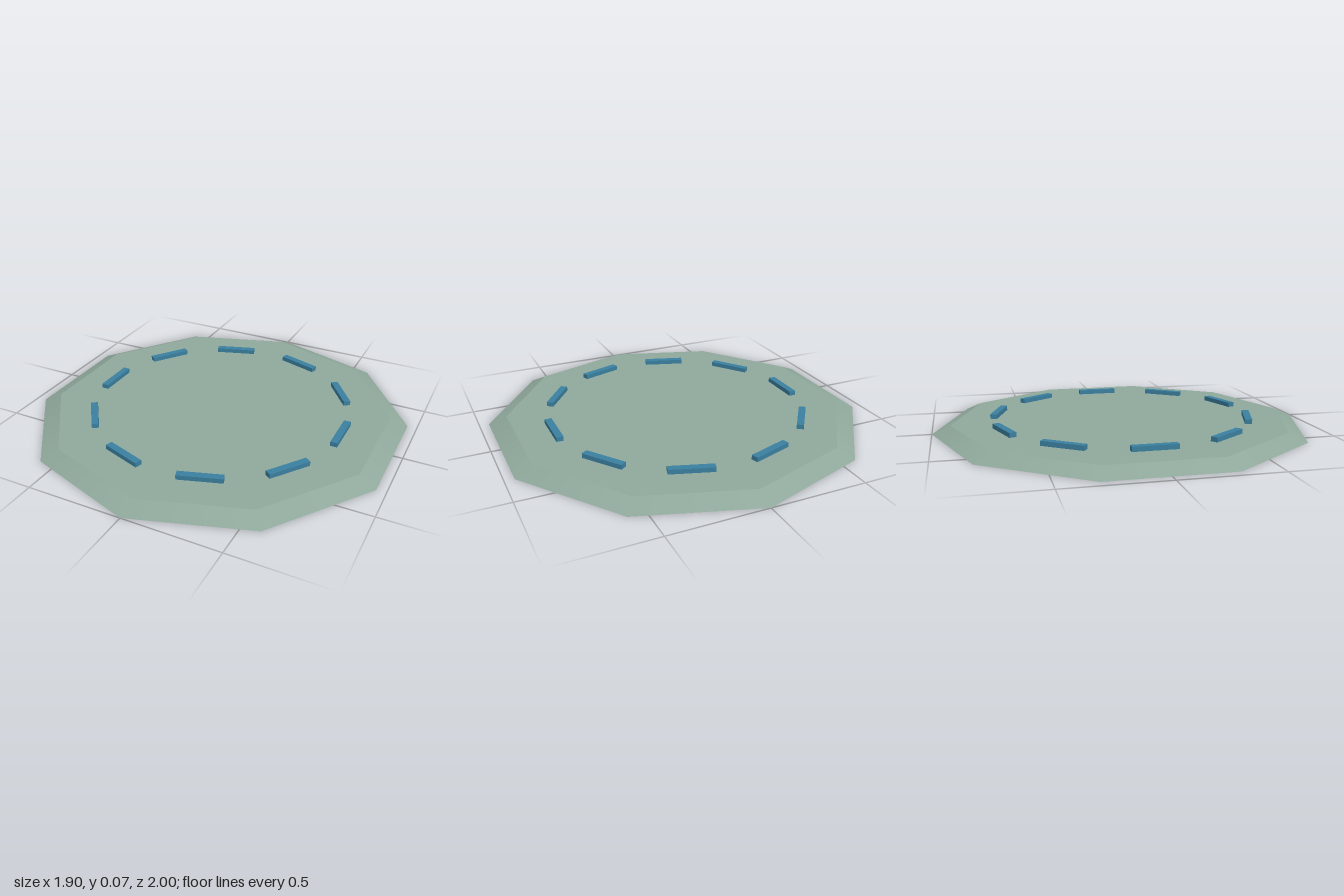
import * as THREE from 'three';

const SIDES = 10;
const BASE_HEIGHT = 0.042;
const BAR_RADIUS = 0.677;

export function createModel() {
  const model = new THREE.Group();
  model.name = 'decagonalPlatform';
  const baseMaterial = new THREE.MeshStandardMaterial({ color: 0x8fa89b });
  const barMaterial = new THREE.MeshStandardMaterial({ color: 0x3a7f9f });

  // Low ten-sided slab with sloping, smooth-shaded rim
  const base = new THREE.Mesh(
    new THREE.CylinderGeometry(0.905, 1, BASE_HEIGHT, SIDES), baseMaterial);
  base.name = 'base';
  base.position.y = BASE_HEIGHT / 2;
  model.add(base);

  // Ring of bars, one parallel to each side of the slab
  const bars = new THREE.Group();
  bars.name = 'barRing';
  const barGeometry = new THREE.BoxGeometry(0.225, 0.024, 0.037);
  for (let i = 0; i < SIDES; i++) {
    const angle = ((i + 0.5) / SIDES) * Math.PI * 2;
    const bar = new THREE.Mesh(barGeometry, barMaterial);
    bar.name = `bar${i + 1}`;
    bar.position.set(
      Math.sin(angle) * BAR_RADIUS, BASE_HEIGHT + 0.012, Math.cos(angle) * BAR_RADIUS);
    bar.rotation.y = angle;
    bars.add(bar);
  }
  model.add(bars);
  return model;
}
